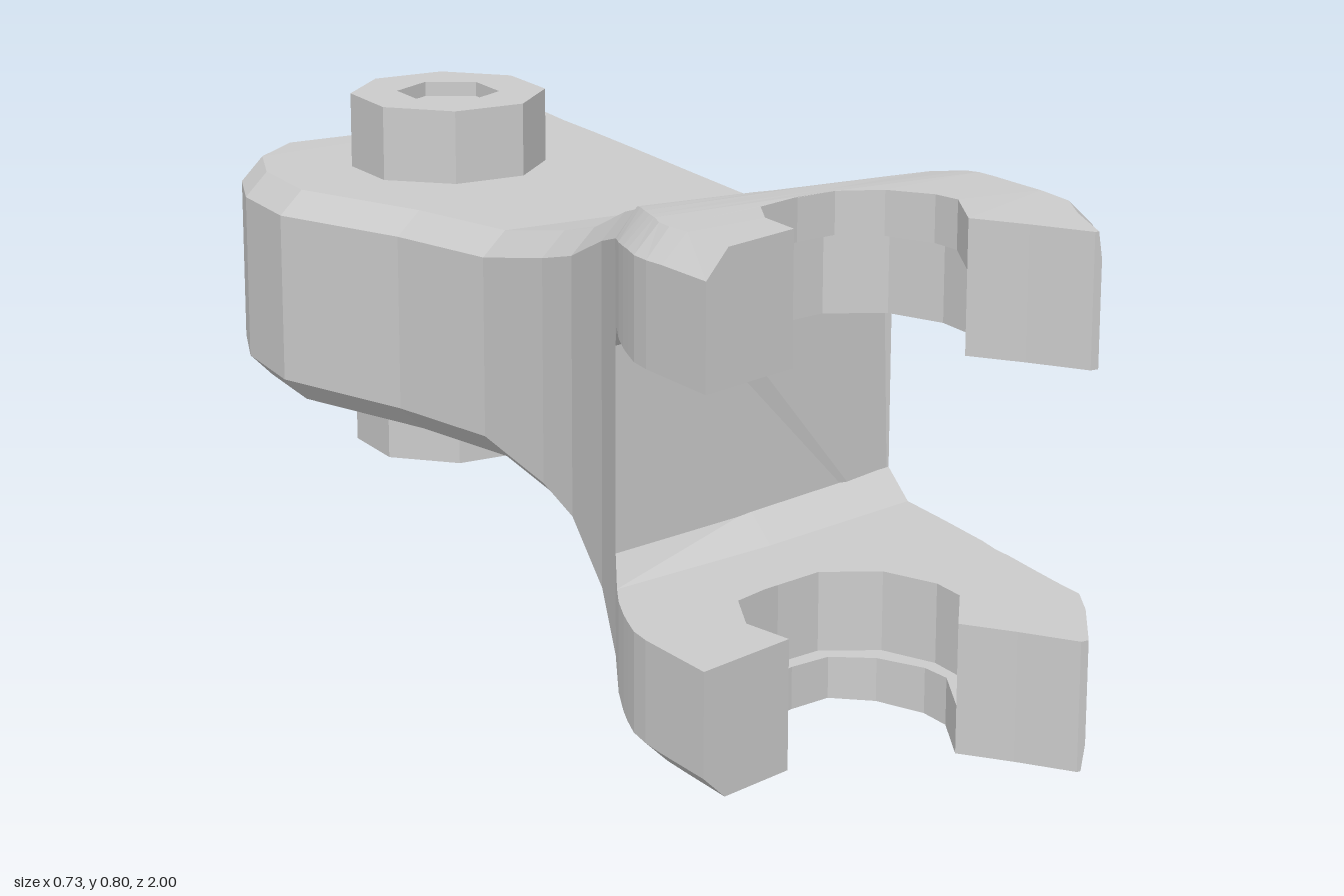
import * as THREE from 'three';

const MID = 0.4; // height of the horizontal symmetry plane
const material = new THREE.MeshStandardMaterial({ color: 0xcccccc, flatShading: true });

// Half thickness of the body along z
const PROFILE = [[-1, 0.15], [-0.96, 0.178], [-0.13, 0.19], [0.1, 0.243], [0.32, 0.33],
  [0.5, 0.377], [0.6, 0.392], [0.77, 0.4], [1, 0.398]];
function halfHeight(z) {
  for (let i = 1; i < PROFILE.length; i++) {
    const [z0, h0] = PROFILE[i - 1], [z1, h1] = PROFILE[i];
    if (z <= z1) return h0 + (h1 - h0) * Math.max(0, (z - z0) / (z1 - z0));
  }
  return 0.398;
}

// Joins rings of [x, y, z] points; rings run anticlockwise seen from +z
function loft(rings, capStart, capEnd) {
  const n = rings[0].length, index = [];
  for (let s = 0; s < rings.length - 1; s++) {
    for (let i = 0; i < n; i++) {
      const a = s * n + i, b = s * n + (i + 1) % n;
      index.push(a, b, b + n, a, b + n, a + n);
    }
  }
  const last = (rings.length - 1) * n;
  for (let i = 1; i < n - 1; i++) {
    if (capStart) index.push(0, i + 1, i);
    if (capEnd) index.push(last, last + i, last + i + 1);
  }
  const g = new THREE.BufferGeometry();
  g.setAttribute('position', new THREE.Float32BufferAttribute(rings.flat(2), 3));
  g.setIndex(index);
  const flat = g.toNonIndexed();
  flat.computeVertexNormals();
  return flat;
}

function addMesh(parent, name, geometry) {
  const mesh = new THREE.Mesh(geometry, material);
  mesh.name = name;
  parent.add(mesh);
  return mesh;
}

// Solid arm: left x, left z, right x, right z, chamfer
const ARM = [
  [-0.06, -1, 0.362, -0.99, 0.01], [-0.2, -0.965, 0.364, -0.955, 0.035],
  [-0.3, -0.87, 0.36, -0.87, 0.04], [-0.345, -0.75, 0.357, -0.75, 0.04],
  [-0.352, -0.59, 0.35, -0.59, 0.04], [-0.25, -0.35, 0.338, -0.36, 0.04],
  [-0.195, -0.15, 0.328, -0.15, 0.04], [-0.178, 0.02, 0.32, 0, 0.04],
  [-0.18, 0.12, 0.314, 0.1, 0.04], [-0.215, 0.28, 0.309, 0.19, 0.04],
  [-0.28, 0.44, 0.305, 0.28, 0.04],
];
function armRing([xl, zl, xr, zr, c]) {
  const hl = halfHeight(zl), hr = halfHeight(zr), cr = c * 0.5;
  return [[xr, -hr + c, zr], [xr, hr - c, zr], [xr - cr, hr, zr], [xl + c, hl, zl],
    [xl, hl - c, zl], [xl, -hl + c, zl], [xl + c, -hl, zl], [xr - cr, -hr, zr]]
    .map(([x, y, z]) => [x, y + MID, z]);
}

// Fork halves: outer x, z, notch lip x, z, and undercut x, z where it differs
const RIGHT_EDGE = [
  [0.305, 0.28, 0, 0.36], [0.303, 0.34, 0, 0.42], [0.3, 0.45, 0, 0.5], [0.295, 0.56, 0, 0.56],
  [0.29, 0.6, 0, 0.59, 0, 0.56], [0.29, 0.64, 0.06, 0.63, 0.085, 0.605],
  [0.286, 0.71, 0.1, 0.7, 0.125, 0.69], [0.283, 0.77, 0.105, 0.75, 0.125, 0.75],
  [0.282, 0.83, 0.055, 0.85], [0.25, 0.89, 0.11, 0.92], [0.178, 0.997, 0.165, 0.997],
];
const LEFT_EDGE = [
  [-0.28, 0.44, 0, 0.36], [-0.3, 0.48, 0, 0.42], [-0.325, 0.53, 0, 0.5], [-0.345, 0.58, 0, 0.56],
  [-0.355, 0.61, 0, 0.59, 0, 0.56], [-0.367, 0.65, -0.07, 0.6, -0.08, 0.575],
  [-0.37, 0.69, -0.15, 0.63, -0.17, 0.61], [-0.368, 0.73, -0.185, 0.7, -0.21, 0.7],
  [-0.362, 0.84, -0.19, 0.785],
];
function prongRing([ox, oz, nx, nz, rx = nx, rz = nz], i, sign, side) {
  const inner = i === 0 ? 0.16 : 0.2; // small fillet at the slot root
  const t = Math.min(0.5, 0.045 / Math.hypot(nx - ox, nz - oz));
  const cx = ox + (nx - ox) * t, cz = oz + (nz - oz) * t;
  const ho = halfHeight(oz), hn = halfHeight(nz);
  const ring = [[ox, inner, oz], [ox, ho - 0.04, oz], [cx, ho, cz], [nx, hn, nz],
    [nx, 0.325, nz], [rx, 0.325, rz], [rx, inner, rz]]
    .map(([x, y, z]) => [x, MID + sign * y, z]);
  return sign * side > 0 ? ring : ring.reverse();
}

// Octagonal bolt head with a hexagonal socket
function polygonPoints(radius, sides, turn) {
  return Array.from({ length: sides }, (_, i) => {
    const a = turn + i * 2 * Math.PI / sides;
    return new THREE.Vector2(radius * Math.cos(a), radius * Math.sin(a));
  });
}
function makeBolt(name) {
  const bolt = new THREE.Group();
  bolt.name = name;
  const shape = new THREE.Shape(polygonPoints(0.168, 8, Math.PI / 8));
  shape.holes.push(new THREE.Path(polygonPoints(0.088, 6, Math.PI / 6).reverse()));
  const head = new THREE.ExtrudeGeometry(shape, { depth: 0.15, bevelEnabled: false });
  head.rotateX(-Math.PI / 2);
  addMesh(bolt, 'boltHead', head);
  const floor = new THREE.CylinderGeometry(0.095, 0.095, 0.1, 6);
  floor.translate(0, 0.075, 0);
  addMesh(bolt, 'boltSocketFloor', floor);
  return bolt;
}

export function createModel() {
  const model = new THREE.Group();
  model.name = 'forkedArm';

  addMesh(model, 'arm', loft(ARM.map(armRing), true, true));

  // Upper and lower prongs, each with two tines around an open notch
  for (const [sign, name] of [[1, 'upperProng'], [-1, 'lowerProng']]) {
    const prong = new THREE.Group();
    prong.name = name;
    for (const [side, edge, tine] of [[1, RIGHT_EDGE, 'pointedTine'], [-1, LEFT_EDGE, 'bluntTine']]) {
      addMesh(prong, tine, loft(edge.map((e, i) => prongRing(e, i, sign, side)), false, true));
    }
    model.add(prong);
  }

  // Bolt heads above and below the pivot end
  const top = makeBolt('upperBolt');
  top.position.set(-0.005, MID + 0.16, -0.65);
  const bottom = makeBolt('lowerBolt');
  bottom.position.set(-0.005, MID - 0.16, -0.65);
  bottom.rotation.z = Math.PI;
  model.add(top, bottom);
  return model;
}
